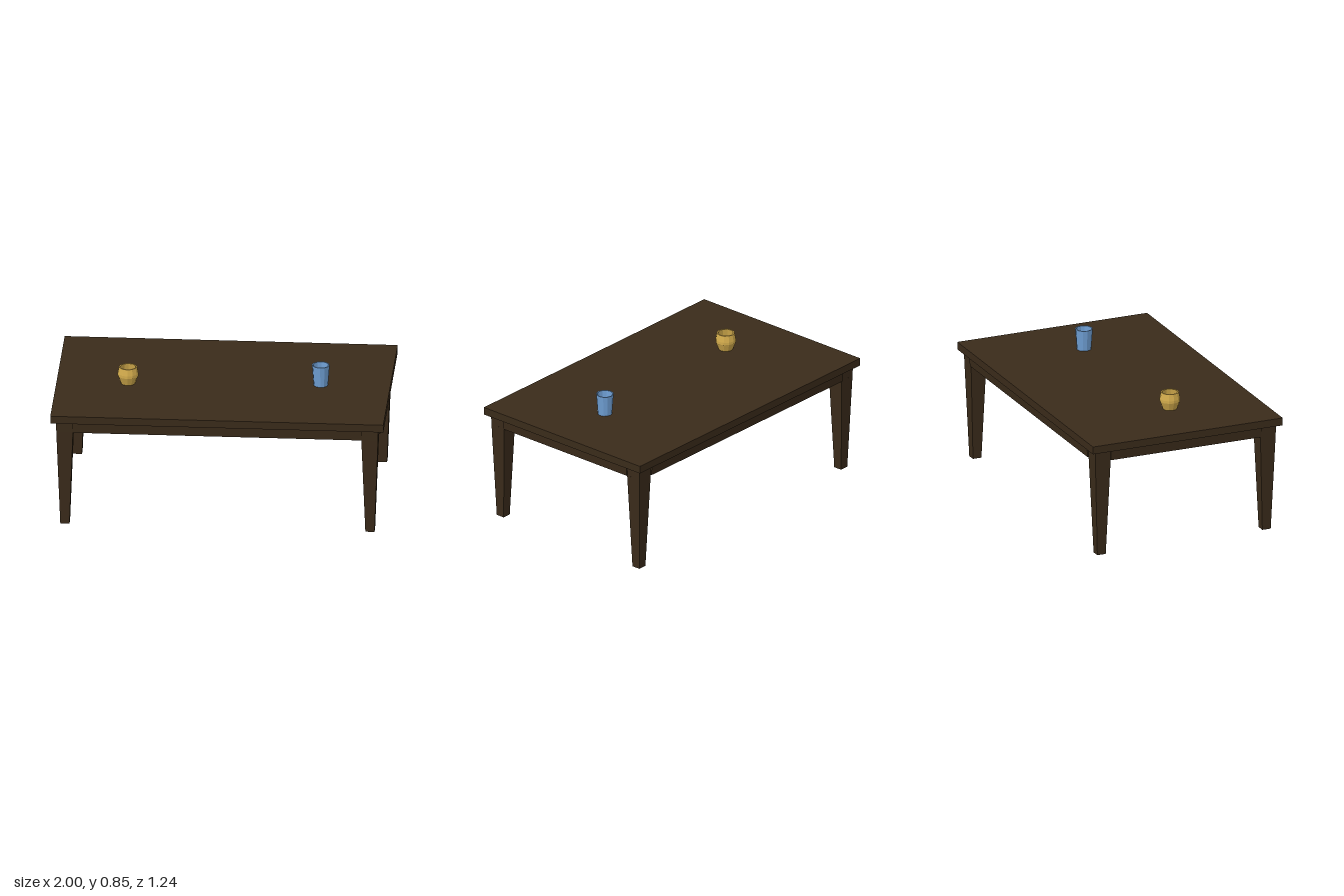
import * as THREE from 'three';

const wood = new THREE.MeshStandardMaterial({ color: 0x3a2b1a, flatShading: true });
const blue = new THREE.MeshStandardMaterial({ color: 0x6f9fd4, flatShading: true });
const gold = new THREE.MeshStandardMaterial({ color: 0xd2ab4c, flatShading: true });

const TOP = 0.717, UNDER = 0.67, APRON = 0.604;

function add(parent, name, geometry, material) {
  const mesh = new THREE.Mesh(geometry, material);
  mesh.name = name;
  parent.add(mesh);
  return mesh;
}

// Box from y0 to y1 whose lower end is scaled by kx, kz
function taperedBox(w, d, y0, y1, kx, kz) {
  const g = new THREE.BoxGeometry(w, y1 - y0, d);
  const p = g.attributes.position;
  for (let i = 0; i < p.count; i++) {
    if (p.getY(i) < 0) {
      p.setX(i, p.getX(i) * kx);
      p.setZ(i, p.getZ(i) * kz);
    }
  }
  g.translate(0, (y0 + y1) / 2, 0);
  g.computeVertexNormals();
  return g;
}

// Hollow vessel turned from an outer and inner profile
function vessel(parent, name, profile, material, x, z) {
  const points = profile.map(([r, y]) => new THREE.Vector2(r, y));
  const mesh = add(parent, name, new THREE.LatheGeometry(points, 12), material);
  mesh.position.set(x, TOP, z);
}

export function createModel() {
  const table = new THREE.Group();
  table.name = 'table';

  // Tabletop
  const slab = new THREE.BoxGeometry(2, TOP - UNDER, 1.244);
  add(table, 'tabletop', slab, wood).position.y = (TOP + UNDER) / 2;

  // Corner legs: a head between the aprons and a tapered shaft
  for (const sx of [-1, 1]) {
    for (const sz of [-1, 1]) {
      const leg = new THREE.Group();
      leg.name = 'leg';
      leg.position.set(sx * 0.916, 0, sz * 0.541);
      add(leg, 'legHead', taperedBox(0.104, 0.104, APRON, UNDER, 0.96, 0.96), wood);
      add(leg, 'legShaft', taperedBox(0.1, 0.1, 0, APRON, 0.55, 0.55), wood);
      table.add(leg);
    }
  }

  // Aprons between the legs, leaning in slightly towards the bottom
  function apron(name, length, offset, angle) {
    const g = taperedBox(length, 0.034, APRON, UNDER, 1, 0.7);
    const mesh = add(table, name, g, wood);
    mesh.rotation.y = angle;
    mesh.position.set(Math.sin(angle) * offset, 0, Math.cos(angle) * offset);
  }
  apron('frontApron', 1.735, 0.586, 0);
  apron('backApron', 1.735, 0.586, Math.PI);
  apron('leftApron', 0.985, 0.96, Math.PI / 2);
  apron('rightApron', 0.985, 0.96, -Math.PI / 2);

  // Tumbler and rounded bowl standing on the top
  vessel(table, 'tumbler', [
    [0, 0], [0.043, 0], [0.053, 0.13], [0.046, 0.13], [0.037, 0.012], [0, 0.012],
  ], blue, 0.583, 0.023);
  vessel(table, 'bowl', [
    [0, 0], [0.043, 0], [0.062, 0.05], [0.062, 0.066], [0.054, 0.106],
    [0.046, 0.106], [0.053, 0.062], [0.036, 0.012], [0, 0.012],
  ], gold, -0.571, 0.073);

  return table;
}
